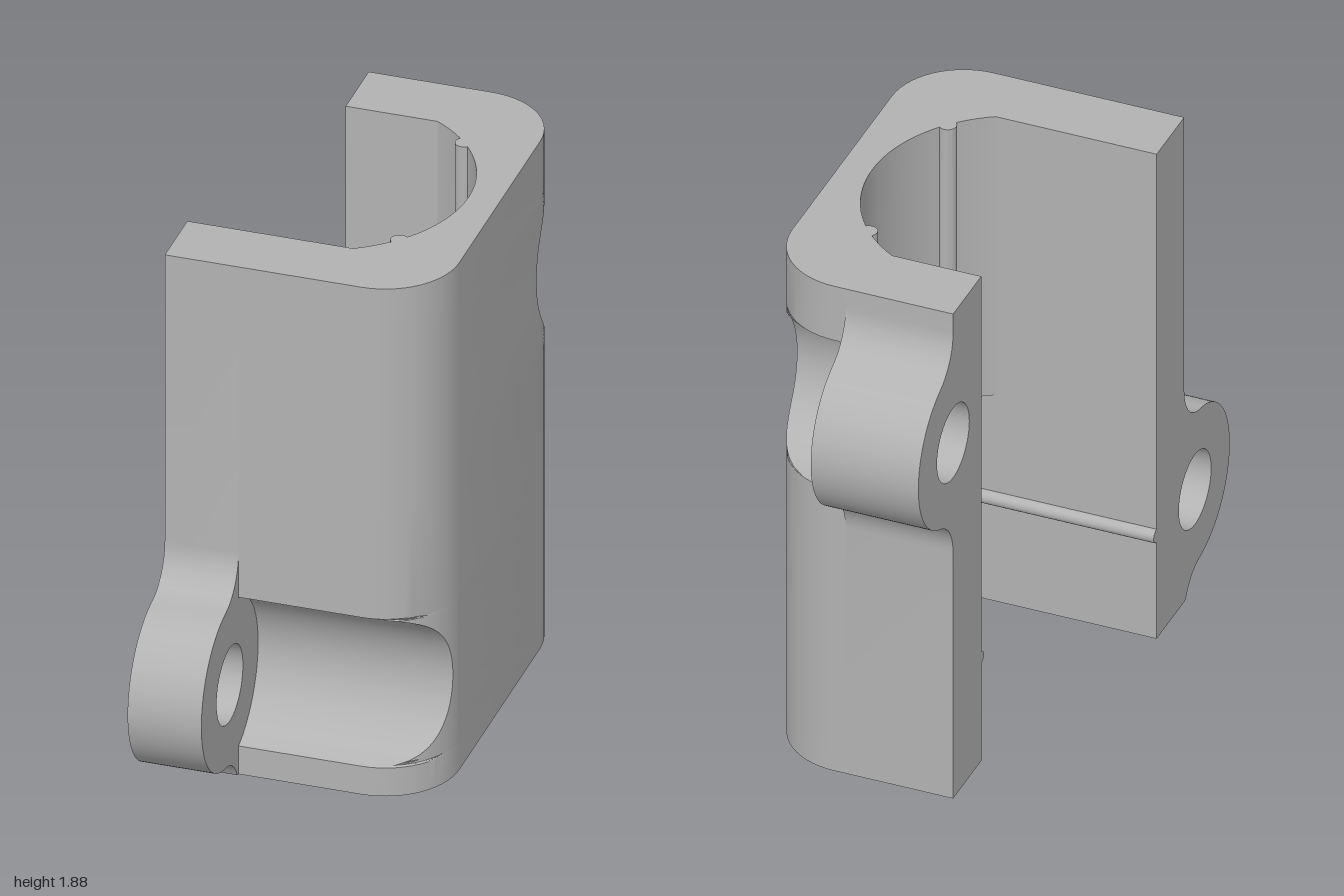
import * as THREE from 'three';
import { toCreasedNormals } from 'three/addons/utils/BufferGeometryUtils.js';

const H = 1.88, STEP = 0.8;            // full height, top of the square pocket
const RIGHT = 0.455, CORNER = 0.25;    // outer wall and its corner radius
const LUG_Z = 0.71, LUG_R = 0.29, HOLE_R = 0.135;
const POCKET_X = 0.305;
const SEAT = { x: -0.15, z: -0.0425, r: 0.5 };   // round seat of the upper half
const FRONT = { s: 1, face: 0.62, inner: 0.39, cy: 0.38, x0: -0.46, x1: -0.21, fillet: 0.155 };
const BACK = { s: -1, face: 0.71, inner: 0.475, cy: 1.38, x0: -0.21, x1: 0.165, fillet: 0.17 };
const RIB_ANGLE = 0.722, RIB_R = 0.03, RIB_HALF = 0.06;

const range = (n, a, b) => Array.from({ length: n + 1 }, (_, i) => a + (b - a) * i / n);
const seat = (t) => [SEAT.x + SEAT.r * Math.cos(t), SEAT.z + SEAT.r * Math.sin(t)];
const seatArc = (n, a, b) => range(n, a, b).map(seat);

// Heights at which the round relief beside a lug needs a row
function reliefRows(arm) {
  const a = Math.acos((LUG_Z - arm.face) / LUG_R);
  return range(28, -a, a).map((t) => arm.cy + LUG_R * Math.sin(t));
}

// Distance of the outer surface from the middle, with the relief cut in
function reliefDepth(arm, y) {
  const q = LUG_R ** 2 - (y - arm.cy) ** 2;
  return q > 0 ? Math.min(arm.face, LUG_Z - Math.sqrt(q)) : arm.face;
}

// Where the back relief floor starts: it just breaks through into the seat
function floorStart(y) {
  const d = -reliefDepth(BACK, y) - SEAT.z;
  return Math.max(BACK.x1, SEAT.x + Math.sqrt(Math.max(0, SEAT.r ** 2 - d * d)));
}

// Rounded outer corner from the right wall to the relief floor
function outerCorner(arm, y) {
  const depth = reliefDepth(arm, y), c = arm.face - CORNER;
  const end = Math.asin(Math.min(1, Math.max(0, (depth - c) / CORNER)));
  return range(14, 0, end).map((t) => [
    RIGHT - CORNER + CORNER * Math.cos(t),
    arm.s * Math.min(depth, c + CORNER * Math.sin(t)),
  ]);
}

const outerPath = (y) => [
  [FRONT.x1, reliefDepth(FRONT, y)],
  ...outerCorner(FRONT, y).reverse(),
  ...outerCorner(BACK, y),
  [floorStart(y), -reliefDepth(BACK, y)],
];

// Small half-round vertical rib on the seat
function ribPath(a) {
  const [px, pz] = seat(a), c = Math.cos(a), s = Math.sin(a);
  return range(10, 0, Math.PI).map((p) => {
    const t = -Math.cos(p) * RIB_R, r = -Math.sin(p) * RIB_R;
    return [px - s * t + c * r, pz + c * t + s * r];
  });
}

const SEAT_END = Math.asin((FRONT.inner - SEAT.z) / SEAT.r);
const seatPath = (y) => [
  ...seatArc(4, -Math.acos((floorStart(y) - SEAT.x) / SEAT.r), -RIB_ANGLE - RIB_HALF),
  ...ribPath(-RIB_ANGLE),
  ...seatArc(24, -RIB_ANGLE + RIB_HALF, RIB_ANGLE - RIB_HALF),
  ...ribPath(RIB_ANGLE),
  ...seatArc(6, RIB_ANGLE + RIB_HALF, SEAT_END),
  [FRONT.x1, FRONT.inner],
];
const wedgePath = () => seatArc(4, -SEAT_END, -Math.acos((BACK.x1 - SEAT.x) / SEAT.r));
const wedgeEnd = (y) => {
  const z = Math.min(-reliefDepth(BACK, y), wedgePath()[4][1]);
  return [[BACK.x1, Math.max(-BACK.inner, z)], [BACK.x1, -BACK.inner]];
};
const pocketPath = () => [
  [BACK.x1, -BACK.inner], [POCKET_X, -BACK.inner],
  [POCKET_X, FRONT.inner], [FRONT.x1, FRONT.inner],
];

// Skin between the same path taken at rising heights
function loft(path, ys) {
  const pos = [], idx = [];
  let n = 0;
  ys.forEach((y, j) => {
    const pts = path(y);
    n = pts.length;
    pts.forEach(([x, z]) => pos.push(x, y, z));
    if (j === 0) return;
    for (let i = 0; i < n - 1; i++) {
      const b = j * n + i, a = b - n;
      idx.push(a, a + 1, b + 1, a, b + 1, b);
    }
  });
  const g = new THREE.BufferGeometry();
  g.setAttribute('position', new THREE.Float32BufferAttribute(pos, 3));
  g.setIndex(idx);
  return toCreasedNormals(g, 0.5);
}

// Flat horizontal face looking up (1) or down (-1)
function cap(pts, y, up) {
  const shape = new THREE.Shape(pts.map(([x, z]) => new THREE.Vector2(x, -up * z)));
  return new THREE.ShapeGeometry(shape).rotateX(-up * Math.PI / 2).translate(0, y, 0);
}

// Straight arm with its filleted, drilled lug, extruded along x
function armGeometry({ s, face, inner, cy, x0, x1, fillet }) {
  const du = LUG_Z - face - fillet;
  const h = Math.sqrt((LUG_R + fillet) ** 2 - du * du);
  const a = Math.atan2(h, du);
  const lower = range(10, Math.PI, a).map((t) =>
    [face + fillet + fillet * Math.cos(t), -h + fillet * Math.sin(t)]);
  const ring = range(40, a - Math.PI, Math.PI - a).slice(1, -1).map((t) =>
    [LUG_Z + LUG_R * Math.cos(t), LUG_R * Math.sin(t)]);
  const upper = lower.map(([u, v]) => [u, -v]).reverse();
  const edge = [...lower, ...ring, ...upper].map(([u, v]) => [u, Math.max(0, cy + v)]);
  const start = cy - h > 0 ? [[inner, 0], [face, 0]] : [[inner, 0]];
  const shape = new THREE.Shape([...start, ...edge, [face, H], [inner, H]]
    .map(([u, v]) => new THREE.Vector2(u, v)));
  const hole = new THREE.Path();
  hole.absarc(LUG_Z, cy, HOLE_R, 0, Math.PI * 2, true);
  shape.holes.push(hole);
  const g = new THREE.ExtrudeGeometry(shape, { depth: x1 - x0, bevelEnabled: false, curveSegments: 24 });
  g.rotateY(-s * Math.PI / 2).translate(s > 0 ? x1 : x0, 0, 0);
  return toCreasedNormals(g, 0.5);
}

export function createModel() {
  const model = new THREE.Group();
  model.name = 'clampBracket';
  const grey = new THREE.MeshStandardMaterial({ color: 0xb2b2b2 });
  grey.name = 'plain grey';
  const add = (name, geometry) => {
    const mesh = new THREE.Mesh(geometry, grey);
    mesh.name = name;
    model.add(mesh);
    return mesh;
  };

  // Arms with lugs
  add('frontArm', armGeometry(FRONT));
  add('backArm', armGeometry(BACK));

  // Outer wall with rounded corners and the reliefs beside the lugs
  const backRows = reliefRows(BACK);
  add('outerWall', loft(outerPath, [0, ...reliefRows(FRONT), ...backRows, H]));

  // Inside: square pocket below, round seat with ribs above
  const upperRows = [STEP, ...backRows, H];
  add('pocketWall', loft(pocketPath, [0, STEP]));
  add('seatWall', loft(seatPath, upperRows));
  add('seatEdge', loft(wedgePath, [STEP, H]));
  add('seatEdgeEnd', loft(wedgeEnd, upperRows));

  // End faces
  add('topFace', cap([...outerPath(H), [BACK.x1, -BACK.inner], ...wedgePath(), ...seatPath(H).slice(1)], H, 1));
  add('bottomFace', cap([...outerPath(0), ...pocketPath()], 0, -1));

  // Step between the pocket and the seat
  const a = Math.acos((POCKET_X - SEAT.x) / SEAT.r);
  const curve = seatPath(STEP).slice(0, -1).filter(([x]) => x < POCKET_X);
  add('backLedge', cap([...wedgePath(), ...curve.filter(([, z]) => z < 0).slice(1), seat(-a),
    [POCKET_X, -BACK.inner]], STEP, -1));
  add('frontLedge', cap([seat(a), ...curve.filter(([, z]) => z > 0), [POCKET_X, FRONT.inner]], STEP, -1));
  add('seatLedge', cap(seatArc(16, -a, a), STEP, 1));

  // Snap beads across the pocket
  for (const [name, arm, r] of [['frontBead', FRONT, 0.025], ['backBead', BACK, 0.022]]) {
    const bead = add(name, new THREE.CylinderGeometry(r, r, POCKET_X - arm.x0, 20).rotateZ(Math.PI / 2));
    bead.position.set((POCKET_X + arm.x0) / 2, 0.4, arm.s * arm.inner);
  }
  return model;
}
